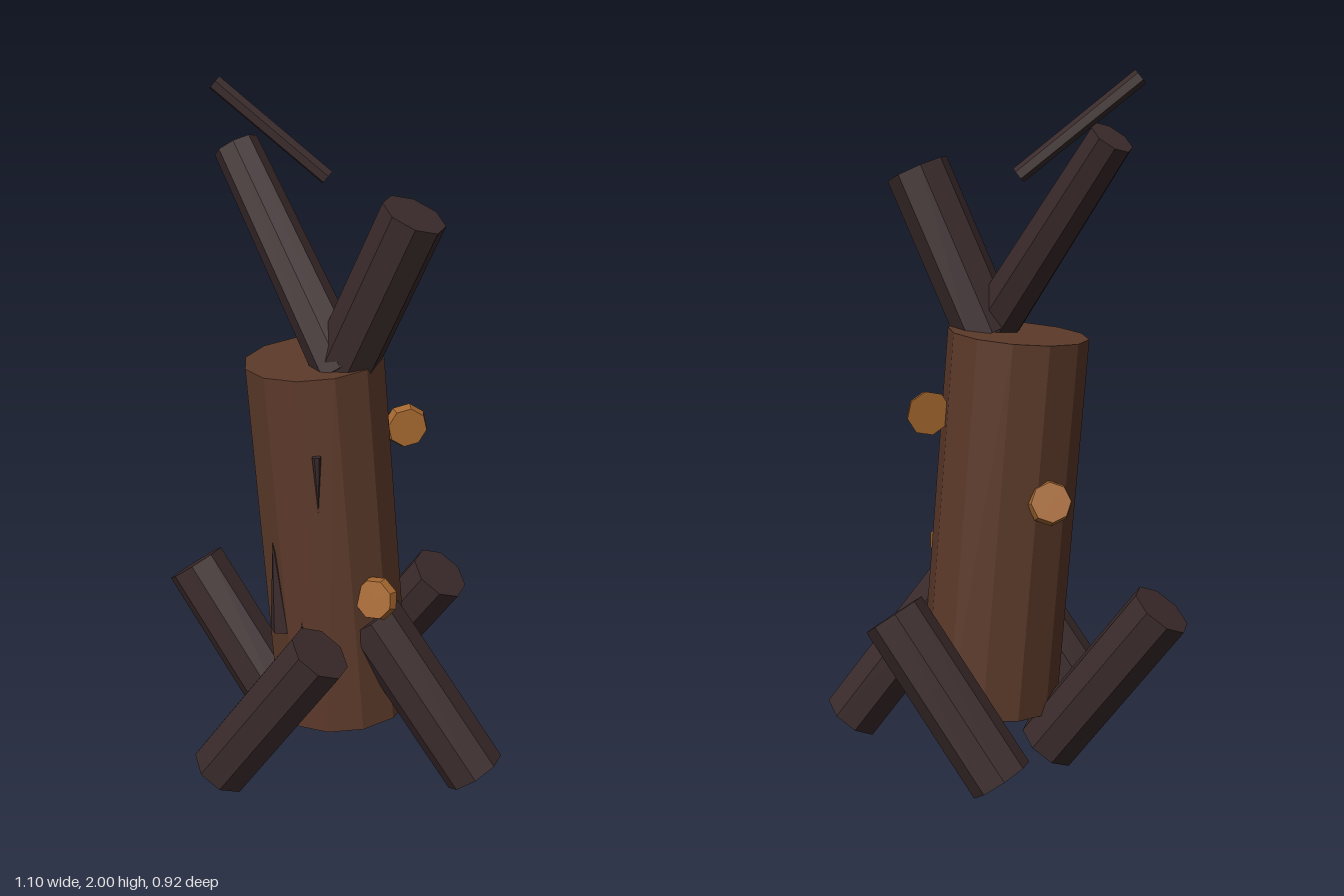
import * as THREE from 'three';

const UP = new THREE.Vector3(0, 1, 0);

export function createModel() {
  const model = new THREE.Group();
  const material = (name, color) => {
    const m = new THREE.MeshStandardMaterial({ color, flatShading: true });
    m.name = name;
    return m;
  };
  const trunkBrown = material('trunkBrown', 0x5c3a2a);
  const darkBark = material('darkBark', 0x3a2a2b);
  const fungusOrange = material('fungusOrange', 0xa5672f);

  // Straight faceted cylinder running from point a to point b
  function limb(name, a, b, rA, rB, sides, mat) {
    const start = new THREE.Vector3(...a);
    const end = new THREE.Vector3(...b);
    const axis = end.clone().sub(start);
    const mesh = new THREE.Mesh(new THREE.CylinderGeometry(rB, rA, axis.length(), sides), mat);
    mesh.name = name;
    mesh.position.copy(start).add(end).multiplyScalar(0.5);
    mesh.quaternion.setFromUnitVectors(UP, axis.normalize());
    model.add(mesh);
  }

  // Leaning trunk
  limb('trunk', [0.035, 0.17, -0.03], [-0.035, 1.26, 0.02], 0.202, 0.202, 12, trunkBrown);

  // Four splayed roots, listed foot then upper end
  const roots = {
    rightRoot: [[-0.15, 0.055, 0.01], [-0.475, 0.5, 0.095]],
    frontRoot: [[-0.085, 0.055, 0.365], [0.215, 0.505, 0.26]],
    leftRoot: [[0.47, 0.055, -0.13], [0.165, 0.5, -0.01]],
    backRoot: [[-0.195, 0.055, -0.295], [0.12, 0.5, -0.37]],
  };
  for (const [name, [foot, top]] of Object.entries(roots)) {
    limb(name, foot, top, 0.092, 0.092, 8, darkBark);
  }

  // Forked branches and the loose twig
  limb('rightBranch', [0.075, 1.25, 0.025], [-0.335, 1.82, 0.025], 0.078, 0.065, 8, darkBark);
  limb('leftBranch', [0.06, 1.25, 0.005], [0.265, 1.715, -0.053], 0.092, 0.092, 8, darkBark);
  limb('twig', [-0.16, 1.723, -0.165], [-0.427, 1.983, 0.015], 0.023, 0.023, 6, darkBark);

  // Bark splinters lying on the trunk
  limb('largeSplinter', [-0.022, 0.465, 0.165], [-0.035, 0.745, 0.195], 0.04, 0, 6, darkBark);
  limb('upperSplinter', [0.11, 1.04, 0.163], [0.112, 0.865, 0.158], 0.013, 0, 6, darkBark);
  limb('smallSplinter', [0.055, 0.455, 0.167], [0.063, 0.52, 0.175], 0.012, 0, 6, darkBark);

  // Shelf fungi: thin discs set into the bark, given by centre and facing
  const fungi = [
    [[0.227, 0.6, 0.045], [0.27, 0.25, 0.93]],
    [[0.142, 1.043, -0.177], [0.82, 0.05, 0.57]],
    [[-0.212, 0.81, -0.08], [-0.66, 0.3, -0.69]],
  ];
  fungi.forEach(([centre, facing], i) => {
    const half = new THREE.Vector3(...facing).setLength(0.014);
    const c = new THREE.Vector3(...centre);
    limb('shelfFungus' + (i + 1), c.clone().sub(half).toArray(), c.clone().add(half).toArray(),
      0.065, 0.057, 8, fungusOrange);
  });

  return model;
}
